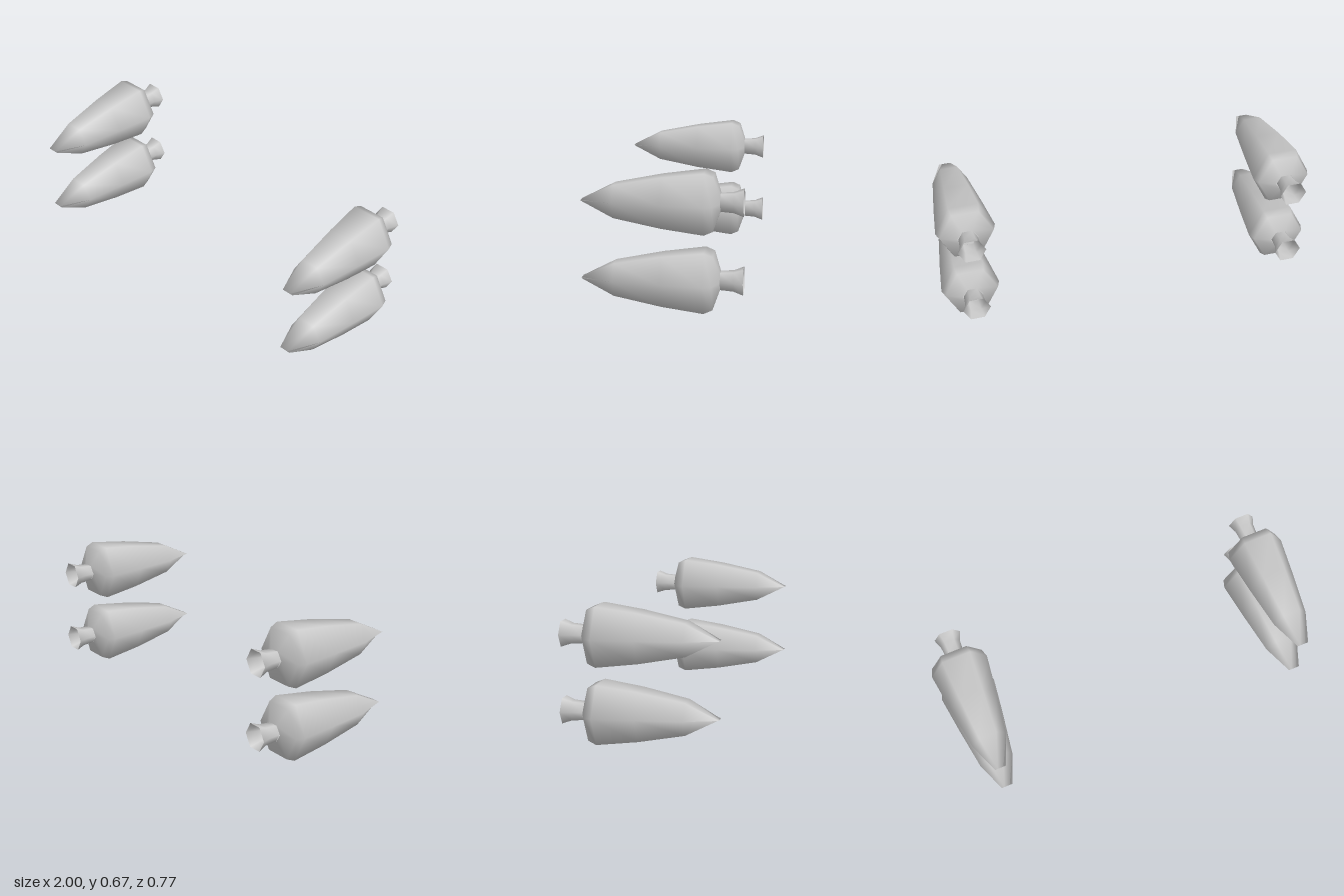
import * as THREE from 'three';
import { mergeVertices } from 'three/addons/utils/BufferGeometryUtils.js';

// Smooth six-sided loft along z; each ring is [half width, half height, z], listed front to back
function loft(rings) {
  const pos = [], index = [], n = 6;
  rings.forEach(([w, h, z], i) => {
    for (let j = 0; j < n; j++) {
      const a = (j / n) * Math.PI * 2;
      pos.push(w * Math.cos(a), (h * Math.sin(a)) / Math.sin(Math.PI / 3), z);
      if (i === rings.length - 1) continue;
      const p = i * n + j, q = i * n + ((j + 1) % n);
      index.push(p, p + n, q, q, p + n, q + n);
    }
  });
  const g = new THREE.BufferGeometry();
  g.setAttribute('position', new THREE.Float32BufferAttribute(pos, 3));
  g.setIndex(index);
  // Weld the flattened nose so its shading runs round the tip
  const welded = mergeVertices(g);
  welded.computeVertexNormals();
  return welded;
}

export function createModel() {
  const model = new THREE.Group();
  model.name = 'enginePods';
  const grey = new THREE.MeshStandardMaterial({ color: 0xc8c8c8, side: THREE.DoubleSide });
  grey.name = 'lightGrey';

  const parts = {
    // Tapered hull ending in a flat wedge nose
    hull: loft([
      [0.03, 0, 0.387], [0.092, 0.079, 0.228], [0.126, 0.121, 0],
      [0.152, 0.146, -0.202], [0.138, 0.129, -0.245], [0.054, 0.041, -0.277],
    ]),
    // Flared exhaust, open at the back
    nozzle: loft([[0.048, 0.041, -0.275], [0.053, 0.046, -0.34], [0.071, 0.062, -0.387]]),
  };

  // Two stacked pods on each side
  for (const side of [-1, 1]) {
    for (const [level, y] of [['lower', 0.146], ['upper', 0.524]]) {
      const pod = new THREE.Group();
      pod.name = `${level}${side > 0 ? 'Left' : 'Right'}Pod`;
      for (const [name, geometry] of Object.entries(parts)) {
        const mesh = new THREE.Mesh(geometry, grey);
        mesh.name = name;
        pod.add(mesh);
      }
      pod.position.set(side * 0.848, y, 0);
      model.add(pod);
    }
  }
  return model;
}
